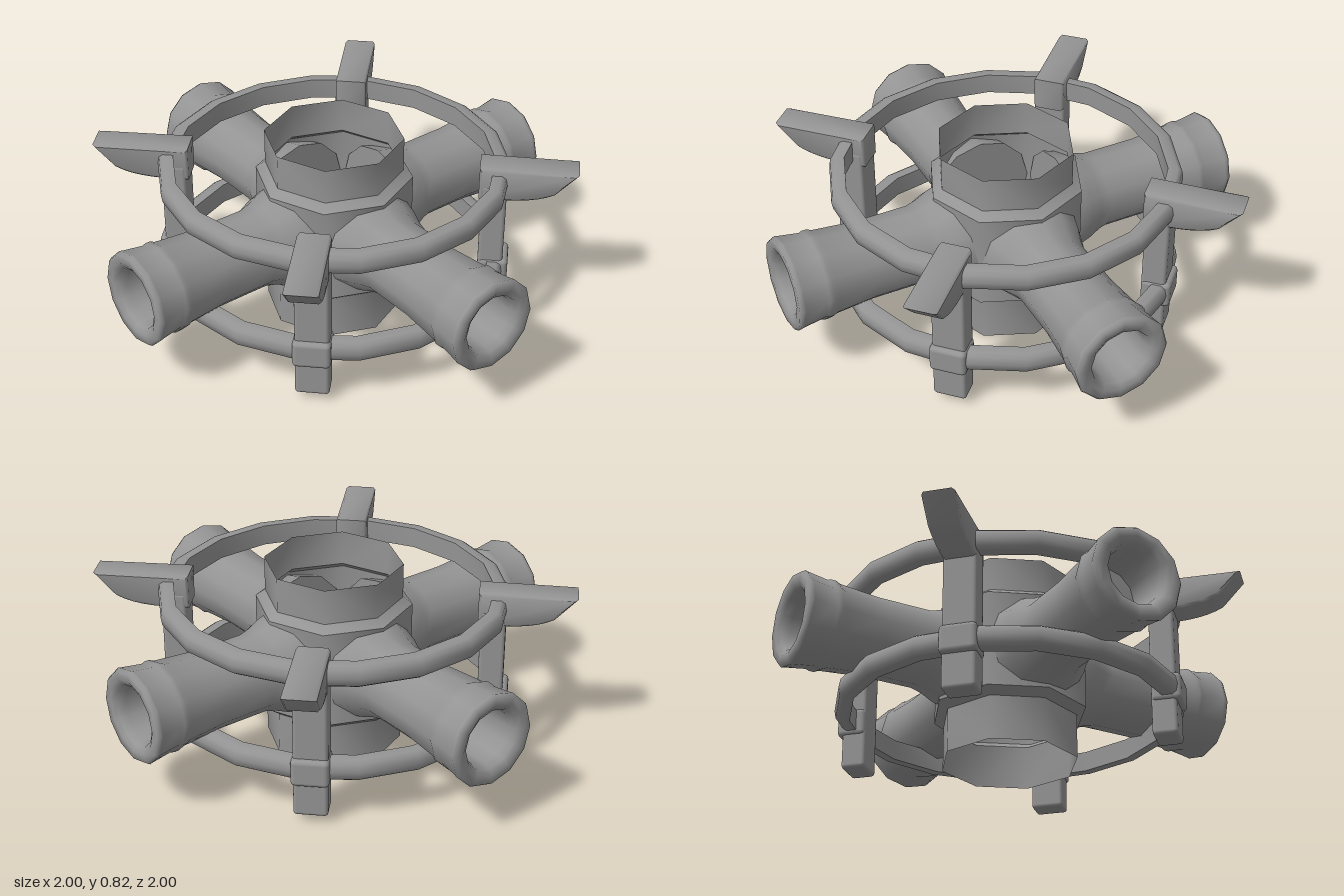
import * as THREE from 'three';
import { toCreasedNormals } from 'three/addons/utils/BufferGeometryUtils.js';
import { RoundedBoxGeometry } from 'three/addons/geometries/RoundedBoxGeometry.js';

const material = new THREE.MeshStandardMaterial({ color: 0x949494 });
const openMaterial = new THREE.MeshStandardMaterial({ color: 0x949494, side: THREE.DoubleSide });

// Revolve [radius, height] pairs; edges sharper than the crease angle stay hard
function lathe(points, sides, crease) {
  const profile = points.map(([r, y]) => new THREE.Vector2(r, y));
  return toCreasedNormals(new THREE.LatheGeometry(profile, sides), crease);
}

function add(parent, name, geometry, mat = material) {
  const mesh = new THREE.Mesh(geometry, mat);
  mesh.name = name;
  parent.add(mesh);
  return mesh;
}

export function createModel() {
  const model = new THREE.Group();
  model.name = 'pipeHub';

  // Open octagonal hub with a wider belt where the pipes meet
  add(model, 'hub', lathe([
    [0.29, 0], [0.29, 0.19], [0.33, 0.22], [0.33, 0.64], [0.29, 0.67], [0.29, 0.82],
  ], 8, 0.85), openMaterial);

  // Four horizontal pipes, flared at both ends, with a bead and a recessed mouth
  const pipe = lathe([
    [0, 0.235], [0.225, 0.235], [0.2, 0.32], [0.178, 0.37], [0.165, 0.42], [0.165, 0.65],
    [0.18, 0.83], [0.189, 0.85], [0.189, 0.87], [0.184, 0.885], [0.197, 0.975], [0.2, 0.985],
    [0.19, 1], [0.155, 1], [0.13, 0.985], [0.12, 0.95], [0.12, 0.78], [0, 0.78],
  ], 12, 1.15).rotateX(Math.PI / 2);
  for (let i = 0; i < 4; i++) {
    const mesh = add(model, 'pipe', pipe);
    mesh.position.y = 0.43;
    mesh.rotation.y = i * Math.PI / 2;
  }

  // Two rings, flat inside and rounded outside
  const ring = lathe([
    [0.67, -0.045], [0.712, -0.045], [0.729, -0.033], [0.735, 0], [0.729, 0.033],
    [0.712, 0.045], [0.67, 0.045], [0.67, -0.045],
  ], 18, 0.9);
  add(model, 'upperRing', ring).position.y = 0.665;
  add(model, 'lowerRing', ring).position.y = 0.245;

  // Fin side profile: flat top, bevelled tip, underside curving into the post
  const width = 0.115;
  const bevel = 0.01;
  const side = new THREE.Shape();
  side.moveTo(0.615, 0.6);
  side.lineTo(0.71, 0.6);
  side.quadraticCurveTo(0.84, 0.602, 0.91, 0.64);
  side.lineTo(0.995, 0.725);
  side.lineTo(0.615, 0.725);
  side.closePath();
  const fin = toCreasedNormals(new THREE.ExtrudeGeometry(side, {
    depth: width, curveSegments: 5, bevelSize: bevel, bevelThickness: bevel, bevelSegments: 1,
  }).translate(0, 0, -width / 2).rotateY(-Math.PI / 2), 0.85);
  const post = new RoundedBoxGeometry(0.14, 0.62, 0.105, 2, 0.015);
  const collar = new RoundedBoxGeometry(0.155, 0.12, 0.125, 2, 0.02);

  // Four diagonal posts, each with a collar on the lower ring and a fin on top
  for (let i = 0; i < 4; i++) {
    const support = new THREE.Group();
    support.name = 'support';
    support.rotation.y = Math.PI / 4 + i * Math.PI / 2;
    add(support, 'post', post).position.set(0, 0.345, 0.668);
    add(support, 'collar', collar).position.set(0, 0.24, 0.68);
    add(support, 'fin', fin);
    model.add(support);
  }
  return model;
}
